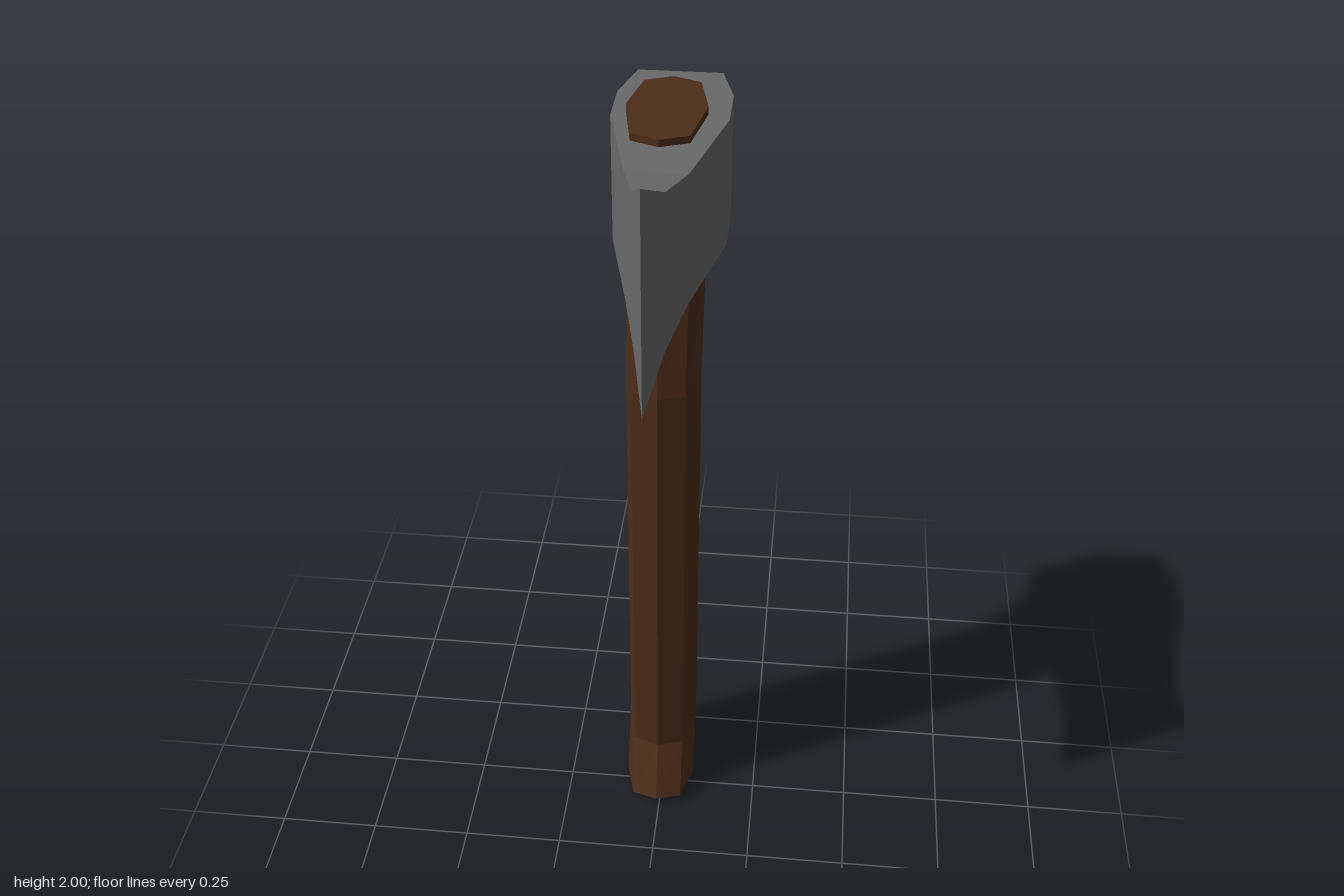
import * as THREE from 'three';

// Flat-sided skin through rings of equal point count, with optional end caps
function loft(rings, capEnd = true) {
  const pos = [];
  const tri = (a, b, c) => pos.push(...a, ...b, ...c);
  const n = rings[0].length;
  for (let i = 0; i < rings.length - 1; i++) {
    for (let j = 0; j < n; j++) {
      const k = (j + 1) % n;
      const [a, b] = [rings[i][j], rings[i][k]];
      const [d, c] = [rings[i + 1][j], rings[i + 1][k]];
      tri(a, b, c);
      if (a !== d) tri(a, c, d);
    }
  }
  const first = rings[0], last = rings[rings.length - 1];
  for (let j = 1; j < n - 1; j++) {
    tri(first[0], first[j + 1], first[j]);
    if (capEnd) tri(last[0], last[j], last[j + 1]);
  }
  const geo = new THREE.BufferGeometry();
  geo.setAttribute('position', new THREE.Float32BufferAttribute(pos, 3));
  geo.computeVertexNormals();
  return geo;
}

function part(name, geometry, color) {
  const mesh = new THREE.Mesh(geometry, new THREE.MeshStandardMaterial({ color, flatShading: true }));
  mesh.name = name;
  return mesh;
}

// Eight-sided handle section: y, centre z, half depth, z of the side ridges,
// and how far the corners and ridges drop below y
function handleRing([y, z, depth, ridgeZ, drop = 0]) {
  const x = -0.008, cx = 0.064, sx = 0.09, cz = depth * 0.84;
  const cy = y - drop * 0.2, sy = y - drop;
  return [
    [x, y, z + depth], [x + cx, cy, z + cz], [x + sx, sy, ridgeZ], [x + cx, cy, z - cz],
    [x, y, z - depth], [x - cx, cy, z - cz], [x - sx, sy, ridgeZ], [x - cx, cy, z + cz],
  ];
}

// Rectangular head section: z, half width, lower y, upper y
const headRing = ([z, w, lo, hi]) => [[w, lo, z], [w, hi, z], [-w, hi, z], [-w, lo, z]];

export function createModel() {
  const axe = new THREE.Group();
  axe.name = 'axe';

  // Handle: swept foot, straight grip, neck bent back into the head
  const handle = [
    [0.025, -0.046, 0.144, -0.033, 0.025],
    [0.17, -0.105, 0.143, -0.105],
    [1.285, -0.105, 0.143, -0.105],
    [1.525, -0.1665, 0.1665, -0.177],
    [1.91, -0.1665, 0.1665, -0.177],
  ];
  axe.add(part('handle', loft(handle.map(handleRing)), 0x4d2d1a));

  // Head: blunt poll, wide eye, then a wedge flaring to the cutting edge
  const head = [
    [-0.405, 0.098, 1.59, 1.892],
    [-0.28, 0.13, 1.59, 1.892],
    [-0.155, 0.13, 1.59, 1.892],
    [0.12, 0.067, 1.59, 1.895],
    [0.265, 0.033, 1.56, 1.925],
    [0.405, 0, 1.482, 2],
  ];
  axe.add(part('axeHead', loft(head.map(headRing), false), 0x696969));

  return axe;
}
